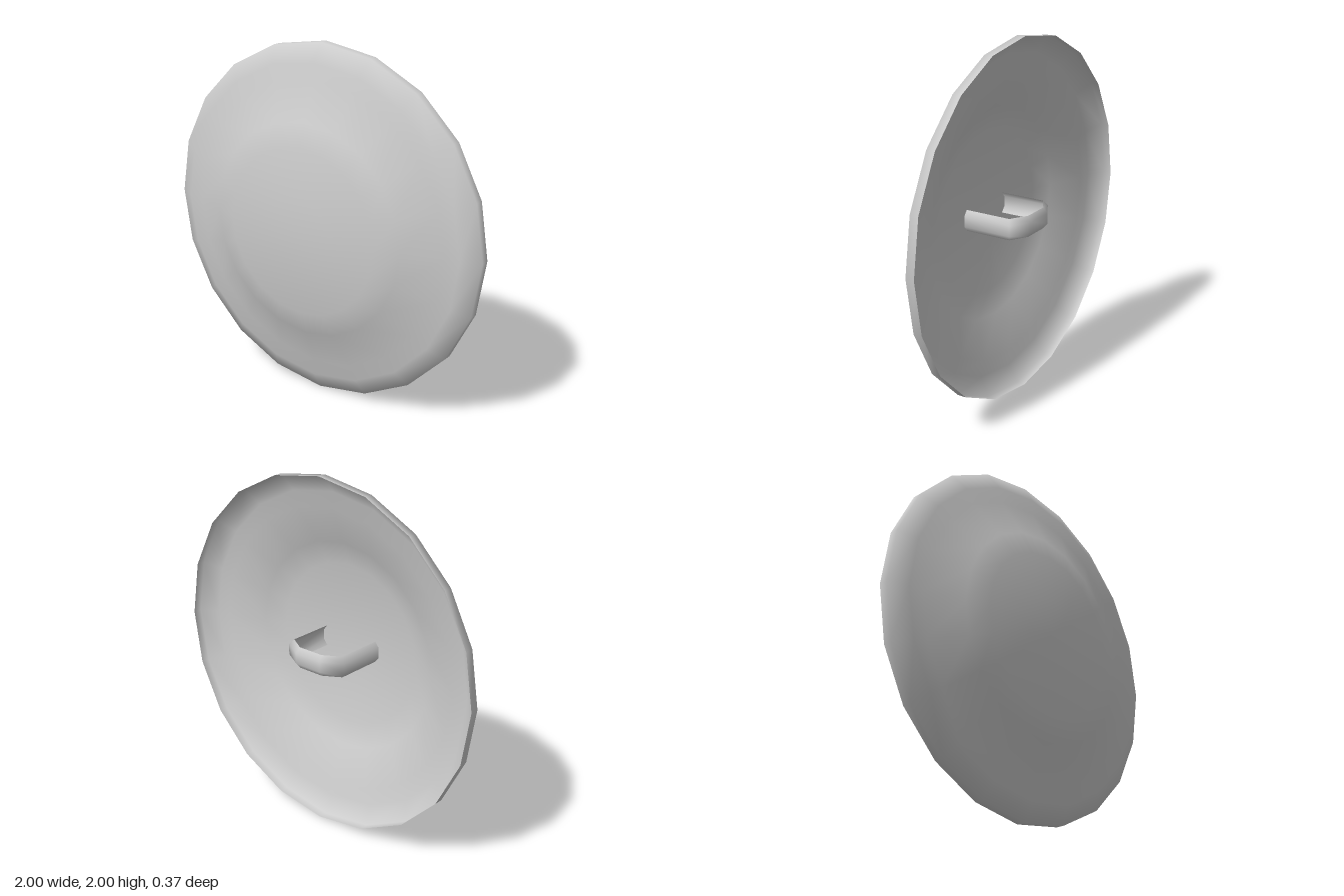
import * as THREE from 'three';
import { mergeVertices } from 'three/addons/utils/BufferGeometryUtils.js';

const material = new THREE.MeshStandardMaterial({ color: 0xcccccc, side: THREE.DoubleSide });

// Weld seams and shade smoothly
function smooth(geometry) {
  geometry.deleteAttribute('uv');
  geometry.deleteAttribute('normal');
  const welded = mergeVertices(geometry, 1e-4);
  welded.computeVertexNormals();
  return welded;
}

// Dished disc: profile of [radius, depth] from back rim to centre boss
function dish() {
  const profile = [
    [1, -0.095], [1, -0.045], [0.9, 0.01], [0.81, 0.01],
    [0.6, 0.1], [0.47, 0.142], [0.2, 0.166], [0, 0.18],
  ].map(([r, z]) => new THREE.Vector2(r, z));
  return smooth(new THREE.LatheGeometry(profile, 20).rotateX(Math.PI / 2));
}

// Channel-section strap swept along an arch in the x-z plane
function strap() {
  // Each stop: outer [x, z], then the inward offset of the two folded edges
  const path = [
    [-0.2, 0.165, 0.025, 0], [-0.2, -0.12, 0.025, 0.015], [-0.085, -0.187, 0.007, 0.024],
    [0.085, -0.187, -0.007, 0.024], [0.2, -0.12, -0.025, 0.015], [0.2, 0.165, -0.025, 0],
  ];
  const section = [[-0.06, 1], [-0.03, 0], [0.03, 0], [0.06, 1]]; // [y, fold]
  const positions = [];
  const index = [];
  const n = section.length;
  path.forEach(([x, z, dx, dz], i) => {
    section.forEach(([y, fold], j) => {
      positions.push(x + dx * fold, y, z + dz * fold);
      if (i > 0 && j > 0) {
        const d = i * n + j;
        const c = d - 1, b = d - n, a = b - 1;
        index.push(a, b, d, a, d, c);
      }
    });
  });
  const geometry = new THREE.BufferGeometry();
  geometry.setAttribute('position', new THREE.Float32BufferAttribute(positions, 3));
  geometry.setIndex(index);
  geometry.computeVertexNormals();
  return geometry;
}

export function createModel() {
  const group = new THREE.Group();
  group.name = 'roundShield';

  const shell = new THREE.Mesh(dish(), material);
  shell.name = 'shieldDish';

  const handle = new THREE.Mesh(strap(), material);
  handle.name = 'gripHandle';

  // Slight turn of the whole shield about its upright axis
  const shield = new THREE.Group();
  shield.name = 'shield';
  shield.add(shell, handle);
  shield.position.y = 1;
  shield.rotation.y = -0.013;
  group.add(shield);
  return group;
}
